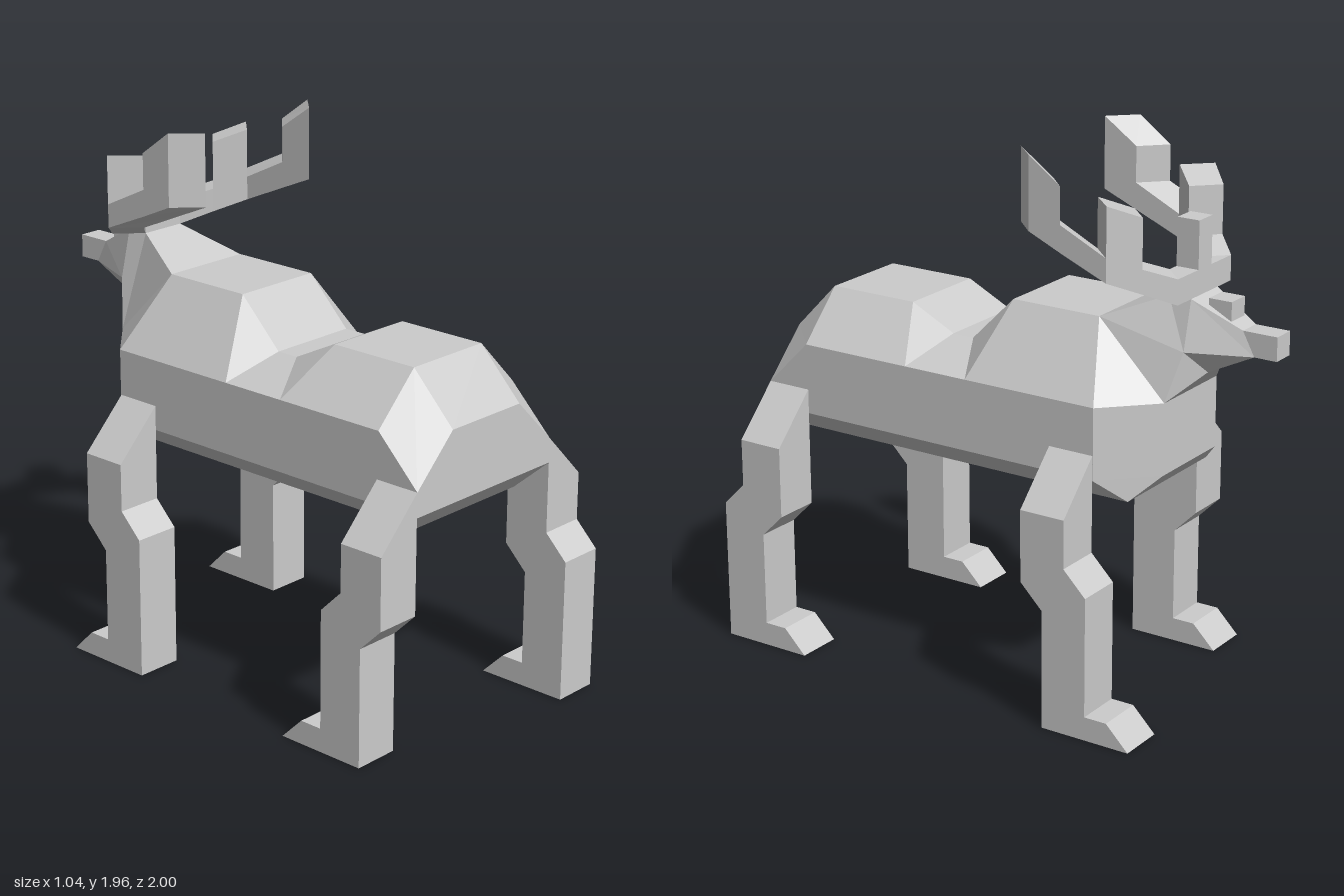
import * as THREE from 'three';

const U = 0.087; // basic grid step
const material = new THREE.MeshStandardMaterial({ color: 0xcccccc, flatShading: true });

// Skin closed rings of points, cap both ends, drop collapsed triangles
function loft(rings) {
  const pos = [];
  const tri = (a, b, c) => {
    const [A, B, C] = [a, b, c].map((p) => new THREE.Vector3(...p));
    if (new THREE.Triangle(A, B, C).getArea() > 1e-6) pos.push(...a, ...b, ...c);
  };
  const quad = (a, b, c, d) => { tri(a, b, c); tri(a, c, d); };
  const n = rings[0].length;
  for (let i = 0; i < rings.length - 1; i++) {
    for (let j = 0; j < n; j++) {
      const k = (j + 1) % n;
      quad(rings[i][j], rings[i][k], rings[i + 1][k], rings[i + 1][j]);
    }
  }
  const first = rings[0], last = rings[rings.length - 1];
  for (let j = 0; j < n / 2 - 1; j++) {
    const m = n - 1 - j;
    quad(first[j], first[m], first[m - 1], first[j + 1]);
    quad(last[j], last[j + 1], last[m - 1], last[m]);
  }
  const geo = new THREE.BufferGeometry();
  geo.setAttribute('position', new THREE.Float32BufferAttribute(pos, 3));
  geo.computeVertexNormals();
  return geo;
}

const mirror = ([x, y, z]) => [-x, y, z];
// Complete a half profile (top to bottom, +x side) into a symmetric ring
const fullRing = (half) => [...half, ...half.map(mirror).reverse()];

function addMesh(parent, name, geo) {
  const mesh = new THREE.Mesh(geo, material);
  mesh.name = name;
  parent.add(mesh);
  return mesh;
}

// Body: [top z, top y, side z, side y, bottom z]
function bodyGeometry() {
  const rows = [
    [0.91, 1.13, 0.91, 0.96, 0.83],
    [0.74, 1.305, 0.74, 1.13, 0.74],
    [0.39, 1.305, 0.3, 1.13, 0.3],
    [0.215, 1.22, 0.3, 1.13, 0.3],
    [0.13, 1.22, 0.045, 1.13, 0.045],
    [-0.04, 1.39, 0.045, 1.13, 0.045],
    [-0.39, 1.39, -0.48, 1.13, -0.565],
  ];
  const halves = rows.map(([tz, ty, sz, sy, bz]) => [
    [0.174, ty, tz], [0.348, sy, sz], [0.348, 0.87, sz], [0.26, 0.785, bz],
  ]);
  // Narrow chest front
  halves.push([[0.174, 1.39, -0.39], [0.174, 1.13, -0.65], [0.174, 0.87, -0.65], [0.26, 0.785, -0.565]]);
  return loft(halves.map(fullRing));
}

// Neck, skull and muzzle: each half profile is top, cheek, jaw
function headGeometry() {
  const shoulder = [0.174, 1.39, -0.39], chest = [0.174, 1.13, -0.65];
  const cheek = [0.13, 1.305, -0.695], jaw = [0.043, 1.22, -0.74];
  const bridge = [0.043, 1.39, -0.87], lip = [0.043, 1.305, -0.915];
  const noseLow = [0.043, 1.305, -1];
  return loft([
    [shoulder, chest, chest],
    [[0.087, 1.48, -0.61], cheek, jaw],
    [[0.087, 1.48, -0.695], cheek, jaw],
    [bridge, lip, jaw],
    [bridge, lip, lip],
    [[0.043, 1.39, -1], noseLow, noseLow],
  ].map(fullRing));
}

// Antlers: one U-shaped beam whose top steps up into five tines
// [inner x, inner z, outer x, outer z, bottom y, top y], rear tip to centre
function antlerGeometry() {
  const rows = [
    [0.26, -0.13, 0.348, -0.22, 1.7, 1.96],
    [0.26, -0.26, 0.348, -0.345, 1.645, 1.87],
    [0.26, -0.26, 0.348, -0.345, 1.645, 1.74],
    [0.26, -0.435, 0.348, -0.525, 1.57, 1.655],
    [0.26, -0.435, 0.348, -0.525, 1.57, 1.83],
    [0.174, -0.525, 0.26, -0.61, 1.525, 1.785],
    [0.174, -0.525, 0.26, -0.61, 1.525, 1.61],
    [0.087, -0.61, 0.174, -0.695, 1.48, 1.57],
    [0.043, -0.61, 0.043, -0.695, 1.48, 1.57],
    [0.043, -0.61, 0.043, -0.695, 1.48, 1.74],
  ];
  const rings = rows.map(([ix, iz, ox, oz, b, t]) => [[ox, t, oz], [ox, b, oz], [ix, b, iz], [ix, t, iz]]);
  return loft([...rings, ...rings.map((r) => r.map(mirror)).reverse()]);
}

// Leg: stepped side outline with a hoof; step = 1 shifts the shin back, -1 forward
function legGeometry(side, back, step) {
  const front = back - 2 * U;
  const kneeBack = step > 0 ? 0.61 : 0.523, kneeFront = step > 0 ? 0.523 : 0.61;
  const shin = front + step * U;
  const outline = [
    [back, 0.96], [front, 0.96], [front, kneeFront], [shin, kneeFront - U],
    [shin, U], [shin - U, U], [shin - 2 * U, 0],
    [back + step * U, 0], [back + step * U, kneeBack - U], [back, kneeBack],
  ].map(([z, y]) => new THREE.Vector2(z, y));
  const geo = new THREE.ExtrudeGeometry(new THREE.Shape(outline), { depth: 2 * U, bevelEnabled: false });
  geo.rotateY(-Math.PI / 2);
  geo.translate(side > 0 ? 6 * U : -4 * U, 0, 0);
  // Slope the top down to the outside
  const p = geo.attributes.position;
  for (let i = 0; i < p.count; i++) {
    if (p.getY(i) > 0.9 && Math.abs(p.getX(i)) > 5 * U) p.setY(i, 0.785);
  }
  geo.computeVertexNormals();
  return geo;
}

export function createModel() {
  const model = new THREE.Group();
  model.name = 'antleredAnimal';
  addMesh(model, 'body', bodyGeometry());
  addMesh(model, 'head', headGeometry());
  addMesh(model, 'antlers', antlerGeometry());

  // Small block on the muzzle
  const block = addMesh(model, 'muzzleBlock', new THREE.BoxGeometry(U, U, U));
  block.position.set(0, 1.437, -0.782);

  // Legs in mid-stride
  for (const side of [1, -1]) {
    const name = side > 0 ? 'left' : 'right';
    addMesh(model, name + 'LegAtTail', legGeometry(side, 0.91, side));
    addMesh(model, name + 'LegAtChest', legGeometry(side, -0.304, -side));
  }
  return model;
}
